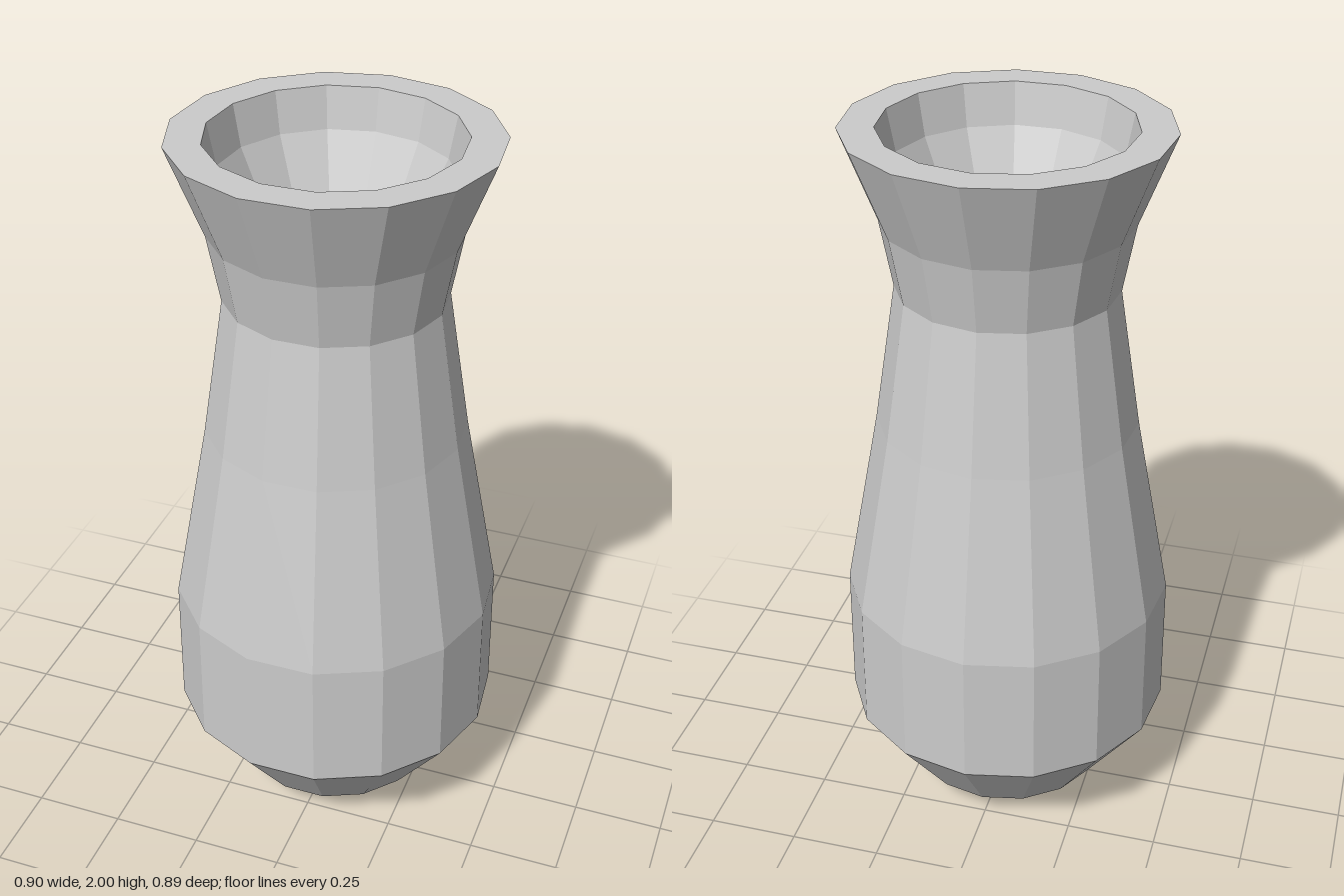
import * as THREE from 'three';

const SIDES = 15;

// Faceted surface of revolution with one corner pointing to the back
function turned(name, points, material) {
  const profile = points.map(([r, y]) => new THREE.Vector2(r, y));
  const mesh = new THREE.Mesh(new THREE.LatheGeometry(profile, SIDES, Math.PI), material);
  mesh.name = name;
  return mesh;
}

export function createModel() {
  const material = new THREE.MeshStandardMaterial({ color: 0xcccccc, flatShading: true });
  const vase = new THREE.Group();
  vase.name = 'vase';

  // Outer wall, from the pointed underside up to the flared lip
  vase.add(turned('body', [
    [0, 0], [0.282, 0.075], [0.451, 0.308], [0.448, 0.685],
    [0.351, 1.2], [0.292, 1.58], [0.325, 1.76], [0.418, 2],
  ], material));

  // Flat ring on top
  vase.add(turned('rim', [[0.418, 2], [0.325, 2]], material));

  // Hollow: short steep wall, then a cone down to a point
  vase.add(turned('hollow', [[0.325, 2], [0.303, 1.89], [0, 1.28]], material));

  // An odd number of sides is deeper at the back, so centre it
  vase.position.z = 0.005;

  const model = new THREE.Group();
  model.add(vase);
  return model;
}
